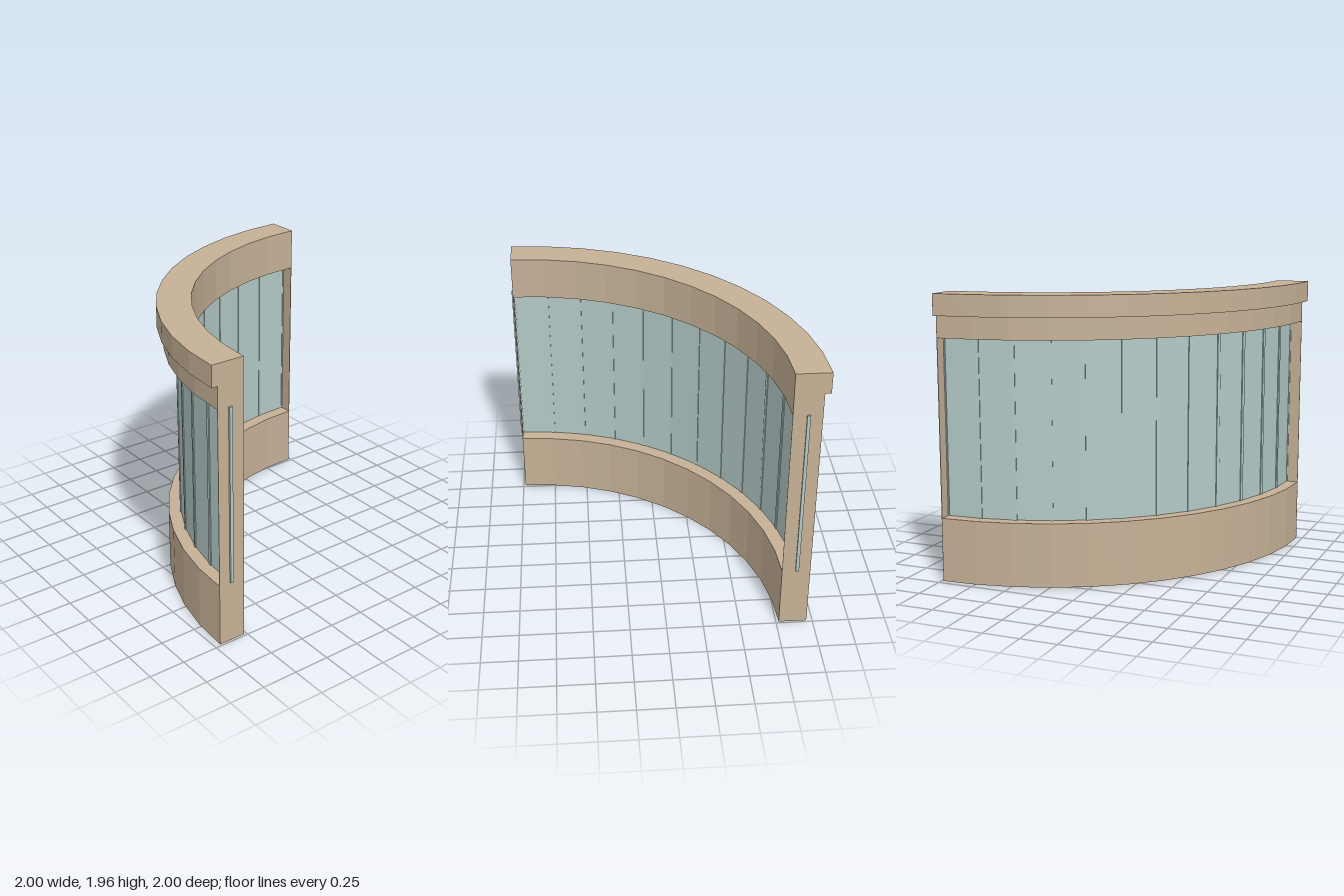
import * as THREE from 'three';

const SEGMENTS = 12;
const INNER = 1.755, OUTER = 1.945, CAP = 1.985;
const SILL = 0.44, HEAD = 1.66, CAP_Y = 1.81, TOP = 1.955;

// Faceted quarter ring swept from a closed cross-section of [radius, y] corners
function quarterRing(name, section, material) {
  const points = [...section, section[0]].map(([r, y]) => new THREE.Vector2(r, y));
  const geometry = new THREE.LatheGeometry(points, SEGMENTS, -Math.PI / 2, Math.PI / 2).toNonIndexed();
  geometry.computeVertexNormals();
  const mesh = new THREE.Mesh(geometry, material);
  mesh.name = name;
  return mesh;
}

const rectangle = (r0, r1, y0, y1) => [[r0, y0], [r1, y0], [r1, y1], [r0, y1]];

export function createModel() {
  const wood = new THREE.MeshStandardMaterial({ color: 0xc6b196 });
  wood.name = 'wood';
  const glass = new THREE.MeshStandardMaterial({ color: 0xb3cac7 });
  glass.name = 'glass';

  const model = new THREE.Group();
  model.name = 'curvedGlassPartition';

  // Arc is built around the origin, then moved so the footprint is centred
  const arc = new THREE.Group();
  arc.name = 'quarterArc';
  arc.position.set(0.985, 0, -0.987);
  model.add(arc);

  // Low wall, header with overhanging cap, and the glazing between them
  arc.add(quarterRing('lowWall', rectangle(INNER, OUTER, 0, SILL), wood));
  arc.add(quarterRing('header', [
    [INNER, HEAD], [OUTER, HEAD], [OUTER, CAP_Y], [CAP, CAP_Y], [CAP, TOP], [INNER, TOP],
  ], wood));
  arc.add(quarterRing('glazing', rectangle(1.85, 1.86, SILL, HEAD), glass));

  // Thin end panels following the full wall profile
  const profile = new THREE.Shape([
    [INNER, 0], [OUTER, 0], [OUTER, CAP_Y], [CAP, CAP_Y], [CAP, TOP], [INNER, TOP],
  ].map(([r, y]) => new THREE.Vector2(-r, y)));
  const thickness = 0.004;
  const panelGeometry = new THREE.ExtrudeGeometry(profile, { depth: thickness, bevelEnabled: false });
  const rightPanel = new THREE.Mesh(panelGeometry, wood);
  rightPanel.name = 'rightEndPanel';
  const leftPanel = new THREE.Mesh(panelGeometry, wood);
  leftPanel.name = 'leftEndPanel';
  leftPanel.rotation.y = Math.PI / 2;
  leftPanel.position.x = -thickness;
  arc.add(rightPanel, leftPanel);

  // Slim mullions at every facet joint, including both ends
  const mullionGeometry = new THREE.BoxGeometry(0.022, HEAD - SILL, 0.024);
  mullionGeometry.translate(-1.855, (SILL + HEAD) / 2, 0);
  for (let i = 0; i <= SEGMENTS; i++) {
    const mullion = new THREE.Mesh(mullionGeometry, glass);
    mullion.name = `mullion${i + 1}`;
    mullion.rotation.y = (i / SEGMENTS) * Math.PI / 2;
    arc.add(mullion);
  }

  return model;
}
